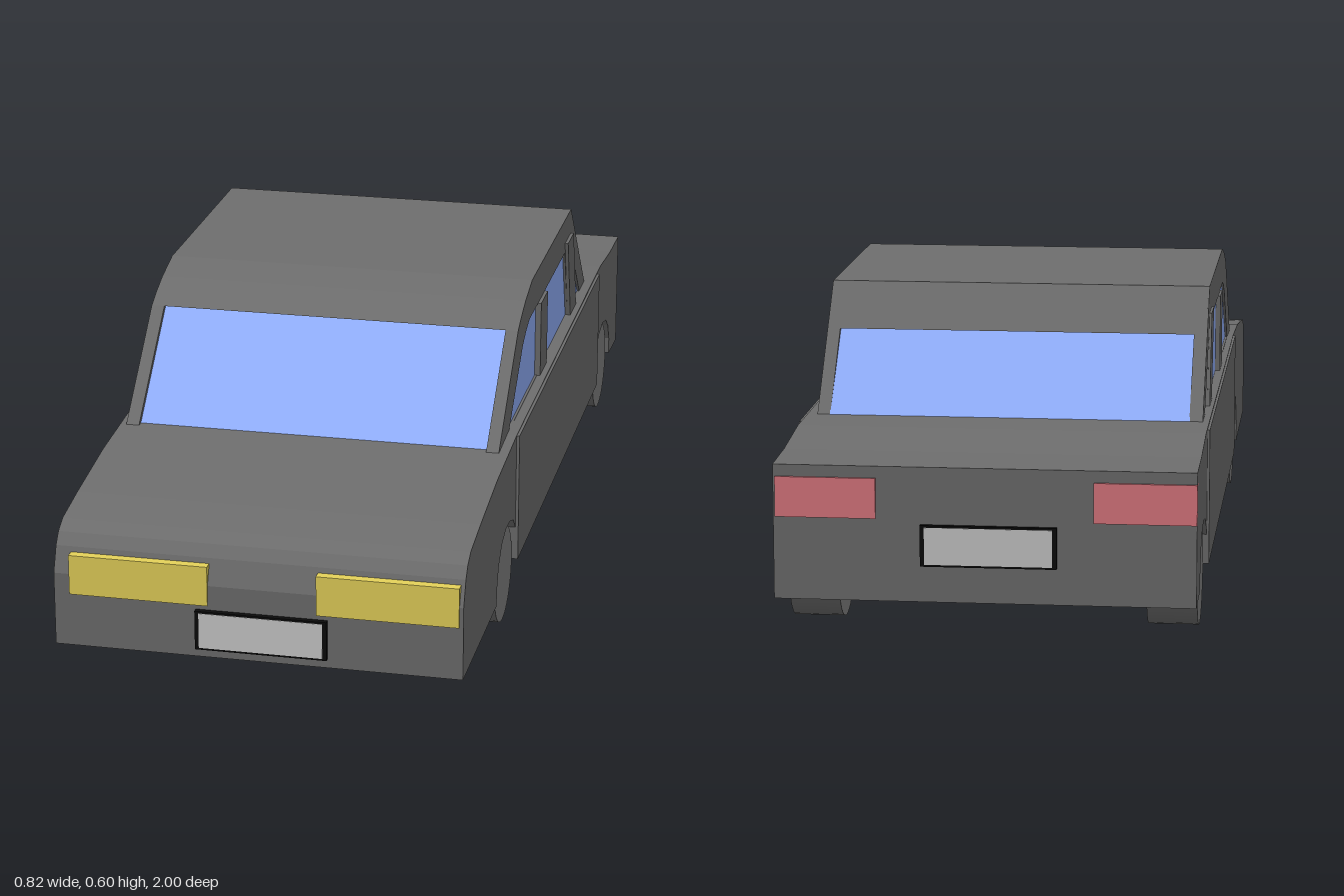
import * as THREE from 'three';

const mat = (color) => new THREE.MeshStandardMaterial({ color });

const toPoints = (list) => list.map(([z, y]) => new THREE.Vector2(z, y));

// Side profile given as [z, y], extruded across x from x0 to x1
function profile(name, points, x0, x1, material, holes = []) {
  const shape = new THREE.Shape(toPoints(points));
  holes.forEach((h) => shape.holes.push(new THREE.Path(toPoints(h))));
  const geo = new THREE.ExtrudeGeometry(shape, { depth: x1 - x0, bevelEnabled: false });
  geo.rotateY(-Math.PI / 2);
  geo.translate(x1, 0, 0);
  const mesh = new THREE.Mesh(geo, material);
  mesh.name = name;
  return mesh;
}

// Box given by its limits on each axis
function block(name, [x0, x1], [y0, y1], [z0, z1], material) {
  const mesh = new THREE.Mesh(new THREE.BoxGeometry(x1 - x0, y1 - y0, z1 - z0), material);
  mesh.position.set((x0 + x1) / 2, (y0 + y1) / 2, (z0 + z1) / 2);
  mesh.name = name;
  return mesh;
}

export function createModel() {
  const car = new THREE.Group();
  car.name = 'car';
  const paint = mat(0x6e6e6e);
  const hub = mat(0x828282);
  const plateGrey = mat(0xcccccc);
  const glass = mat(0x93b1ff);
  const yellow = mat(0xe5d25a);
  const red = mat(0xdf7981);
  const black = mat(0x0a0a0a);

  // Lower body, with wheel arches cut across the full width
  const body = [
    [0.988, 0.076], [0.988, 0.225], [0.968, 0.275], [0.95, 0.297], [0.92, 0.313],
    [0.82, 0.328], [0.64, 0.35], [0.5, 0.358], [0.42, 0.363], [-0.7, 0.365],
    [-0.78, 0.358], [-0.86, 0.351], [-0.99, 0.348], [-0.99, 0.086], [-0.876, 0.092],
    [-0.872, 0.13], [-0.85, 0.17], [-0.815, 0.195], [-0.765, 0.206], [-0.71, 0.196],
    [-0.672, 0.175], [-0.652, 0.15], [-0.652, 0.093], [0.42, 0.093], [0.42, 0.162],
    [0.445, 0.188], [0.485, 0.202], [0.53, 0.203], [0.575, 0.188], [0.61, 0.155],
    [0.625, 0.115], [0.63, 0.076],
  ];
  car.add(profile('body', body, -0.405, 0.402, paint));

  // Doors stand slightly proud of the body sides
  car.add(block('doorPanels', [-0.41, 0.408], [0.092, 0.362], [-0.653, 0.42], paint));

  // Glass core showing as the windscreen and rear window
  const core = [
    [0.503, 0.355], [0.296, 0.542], [0.22, 0.57], [0.14, 0.59],
    [-0.366, 0.59], [-0.598, 0.355],
  ];
  car.add(profile('windscreenAndRearWindow', core, -0.366, 0.357, glass));

  // Roof skin, from the windscreen's top edge to the rear window's top edge
  const roof = [
    [0.305, 0.546], [0.27, 0.563], [0.22, 0.582], [0.14, 0.602], [-0.37, 0.602],
    [-0.45, 0.516], [-0.43, 0.516], [-0.36, 0.58], [0.14, 0.58], [0.28, 0.546],
  ];
  car.add(profile('roof', roof, -0.39, 0.38, paint));

  // Side frames with three window openings each
  const frame = [
    [0.514, 0.358], [0.305, 0.546], [0.27, 0.563], [0.22, 0.582], [0.14, 0.602],
    [-0.37, 0.602], [-0.594, 0.358],
  ];
  const windows = [
    [[0.395, 0.364], [0.245, 0.493], [0.205, 0.513], [0.165, 0.525], [0.06, 0.525], [0.06, 0.364]],
    [[-0.025, 0.364], [-0.025, 0.525], [-0.292, 0.525], [-0.345, 0.364]],
    [[-0.425, 0.364], [-0.385, 0.505], [-0.515, 0.364]],
  ];
  // Raised pillars beside the door windows
  const pillars = [
    [[0.06, 0.36], [0.06, 0.525], [-0.025, 0.525], [-0.025, 0.36]],
    [[-0.345, 0.36], [-0.292, 0.547], [-0.37, 0.547], [-0.425, 0.36]],
  ];
  // Per side: frame limits, glass limits and pillar limits across x
  const sides = [
    ['left', [0.356, 0.382], [0.35, 0.377], [0.381, 0.389]],
    ['right', [-0.392, -0.365], [-0.387, -0.36], [-0.397, -0.391]],
  ];
  for (const [side, frameX, glassX, pillarX] of sides) {
    car.add(profile(`${side}SideFrame`, frame, ...frameX, paint, windows));
    windows.forEach((w, i) => car.add(profile(`${side}Window${i + 1}`, w, ...glassX, glass)));
    pillars.forEach((p, i) => car.add(profile(`${side}Pillar${i + 1}`, p, ...pillarX, paint)));
  }

  // Wheels, with lighter side faces than treads
  const wheelGeo = new THREE.CylinderGeometry(0.098, 0.098, 0.098, 40).rotateZ(Math.PI / 2);
  for (const [end, z] of [['front', 0.517], ['rear', -0.766]]) {
    for (const [side, x] of [['Left', 0.346], ['Right', -0.35]]) {
      const wheel = new THREE.Mesh(wheelGeo, [paint, hub, hub]);
      wheel.position.set(x, 0.098, z);
      wheel.name = `${end}${side}Wheel`;
      car.add(wheel);
    }
  }

  // Lights
  car.add(block('leftHeadlight', [0.116, 0.394], [0.184, 0.265], [0.965, 0.991], yellow));
  car.add(block('rightHeadlight', [-0.374, -0.098], [0.184, 0.265], [0.965, 0.991], yellow));
  car.add(block('leftTailLight', [0.205, 0.398], [0.247, 0.325], [-0.995, -0.97], red));
  car.add(block('rightTailLight', [-0.405, -0.21], [0.247, 0.325], [-0.995, -0.97], red));

  // Blank number plates: black surround with a raised grey face
  for (const [end, s, x, y] of [['front', 1, 0.008, 0.135], ['rear', -1, -0.01, 0.197]]) {
    const plate = new THREE.Group();
    plate.name = `${end}Plate`;
    plate.add(block('surround', [-0.13, 0.13], [-0.04, 0.04], [-0.01, 0.01], black));
    plate.add(block('face', [-0.122, 0.122], [-0.036, 0.036], [-0.011, 0.011], plateGrey));
    plate.position.set(x, y, s * 0.989);
    car.add(plate);
  }
  return car;
}
